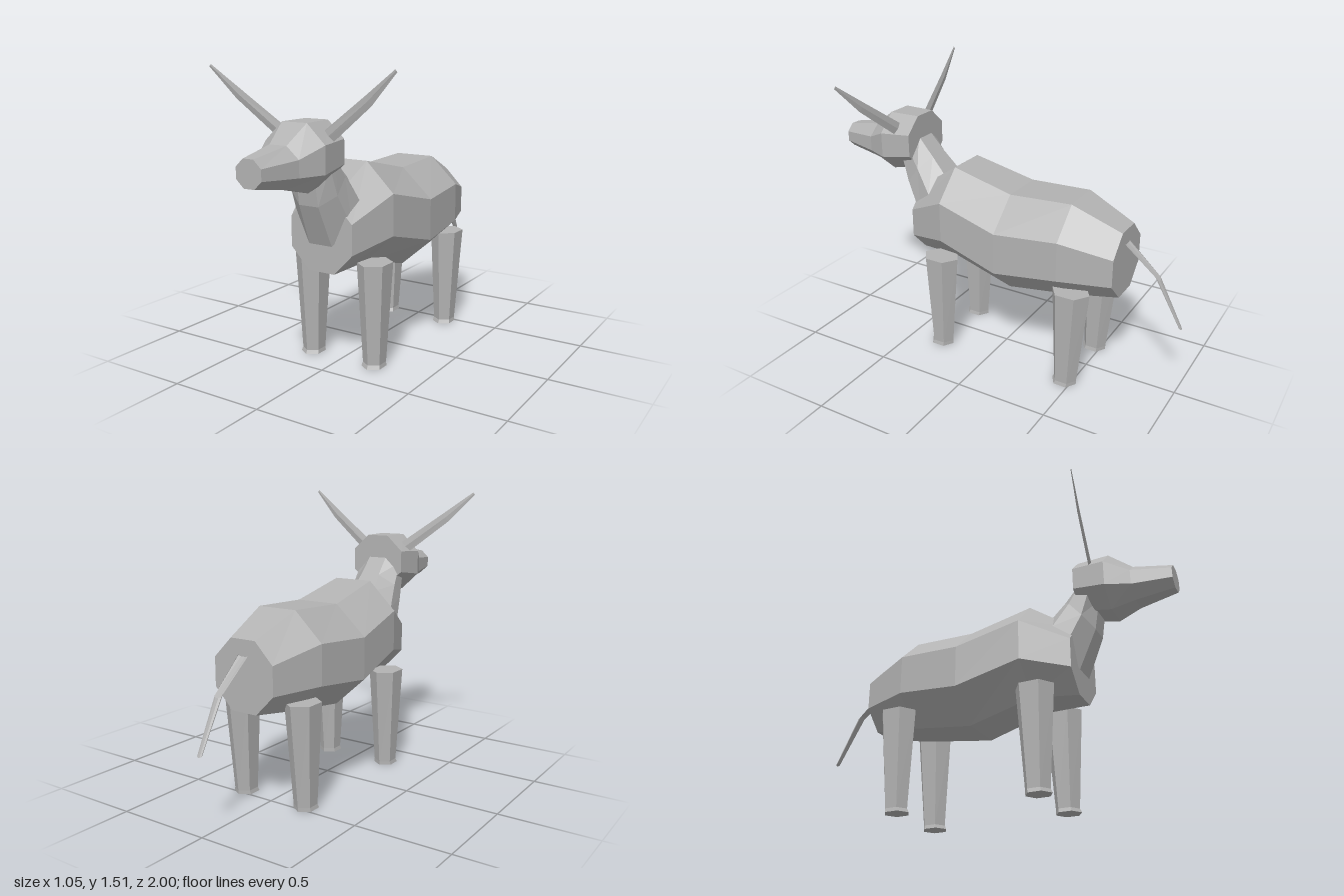
import * as THREE from 'three';

const hide = new THREE.MeshStandardMaterial({ color: 0xb2b2b2, flatShading: true });
hide.name = 'grey hide';

// Closed faceted loft. Each section is [centre, u, v]; corners lie at centre + u cos + v sin.
function loft(name, sides, offset, sections) {
  const rings = sections.map(([c, u, v]) => {
    const ring = [];
    for (let i = 0; i < sides; i++) {
      const a = offset + (i / sides) * Math.PI * 2;
      ring.push(new THREE.Vector3(...c)
        .addScaledVector(new THREE.Vector3(...u), Math.cos(a))
        .addScaledVector(new THREE.Vector3(...v), Math.sin(a)));
    }
    return ring;
  });
  const tris = [];
  for (let s = 0; s < rings.length - 1; s++) {
    for (let i = 0; i < sides; i++) {
      const j = (i + 1) % sides;
      const a = rings[s][i], b = rings[s][j], c = rings[s + 1][j], d = rings[s + 1][i];
      tris.push([a, b, c], [a, c, d]);
    }
  }
  const last = rings[rings.length - 1];
  for (let i = 1; i < sides - 1; i++) {
    tris.push([rings[0][0], rings[0][i + 1], rings[0][i]], [last[0], last[i], last[i + 1]]);
  }
  // Turn every face outward, judged by the signed volume
  let volume = 0;
  const n = new THREE.Vector3();
  for (const [a, b, c] of tris) volume += a.dot(n.crossVectors(b, c));
  const points = tris.flatMap(([a, b, c]) => (volume < 0 ? [a, c, b] : [a, b, c]));
  const geometry = new THREE.BufferGeometry().setFromPoints(points);
  geometry.computeVertexNormals();
  const mesh = new THREE.Mesh(geometry, hide);
  mesh.name = name;
  return mesh;
}

const OCT = Math.PI / 8;
const K = 1 / Math.cos(OCT); // flat-to-flat half size to corner radius

// Octagon standing upright at z, from its lowest and highest y and half width
const upright = ([z, low, high, half]) =>
  [[0, (low + high) / 2, z], [half * K, 0, 0], [0, ((high - low) / 2) * K, 0]];

// Octagon tilted about x, from its front and back points in (z, y)
const tilted = ([fz, fy, bz, by, half]) =>
  [[0, (fy + by) / 2, (fz + bz) / 2], [half * K, 0, 0], [0, ((by - fy) / 2) * K, ((bz - fz) / 2) * K]];

export function createModel() {
  const model = new THREE.Group();
  model.name = 'hornedAnimal';

  model.add(loft('body', 8, OCT, [
    [0.49, 0.51, 0.88, 0.18],
    [0.25, 0.525, 1.04, 0.265],
    [-0.09, 0.43, 0.96, 0.29],
    [-0.43, 0.475, 0.975, 0.265],
    [-0.69, 0.51, 0.865, 0.175],
  ].map(upright)));

  model.add(loft('neck', 8, OCT, [
    [0.495, 0.65, 0.35, 0.965, 0.16],
    [0.585, 0.86, 0.43, 1.05, 0.135],
    [0.61, 1.02, 0.52, 1.15, 0.125],
  ].map(tilted)));

  model.add(loft('head', 8, OCT, [
    [1.0, 1.01, 1.14, 0.07],
    [0.8, 0.98, 1.175, 0.115],
    [0.68, 0.945, 1.265, 0.17],
    [0.51, 0.98, 1.265, 0.155],
  ].map(upright)));

  model.add(loft('tail', 8, OCT, [
    [[0, 0.815, -0.66], [0.032, 0, 0], [0, 0.026, 0.022]],
    [[0, 0.64, -0.86], [0.022, 0, 0], [0, 0.014, 0.016]],
    [[0, 0.39, -0.996], [0.014, 0, 0], [0, 0.007, 0.008]],
  ]));

  for (const side of [1, -1]) {
    const label = side > 0 ? 'left' : 'right';

    // Flat, blade-like horn sweeping up and out
    model.add(loft(label + 'Horn', 4, 0, [
      [[0.105 * side, 1.18, 0.595], [-0.022 * side, 0.028, 0], [0, 0, 0.008]],
      [[0.365 * side, 1.372, 0.632], [-0.017 * side, 0.021, 0], [0, 0, 0.005]],
      [[0.519 * side, 1.505, 0.658], [-0.005 * side, 0.006, 0], [0, 0, 0.002]],
    ]));

    // Tapered six-sided legs with a small flared hoof edge
    for (const [end, top, foot] of [['Front', 0.3, 0.305], ['Rear', -0.48, -0.465]]) {
      model.add(loft(label + end + 'Leg', 6, Math.PI / 2, [
        [[0.19 * side, 0.545, top], [0.0866, 0, 0], [0, 0, 0.103]],
        [[0.19 * side, 0.02, foot], [0.057, 0, 0], [0, 0, 0.064]],
        [[0.19 * side, 0, foot + 0.005], [0.062, 0, 0], [0, 0, 0.069]],
      ]));
    }
  }
  return model;
}
